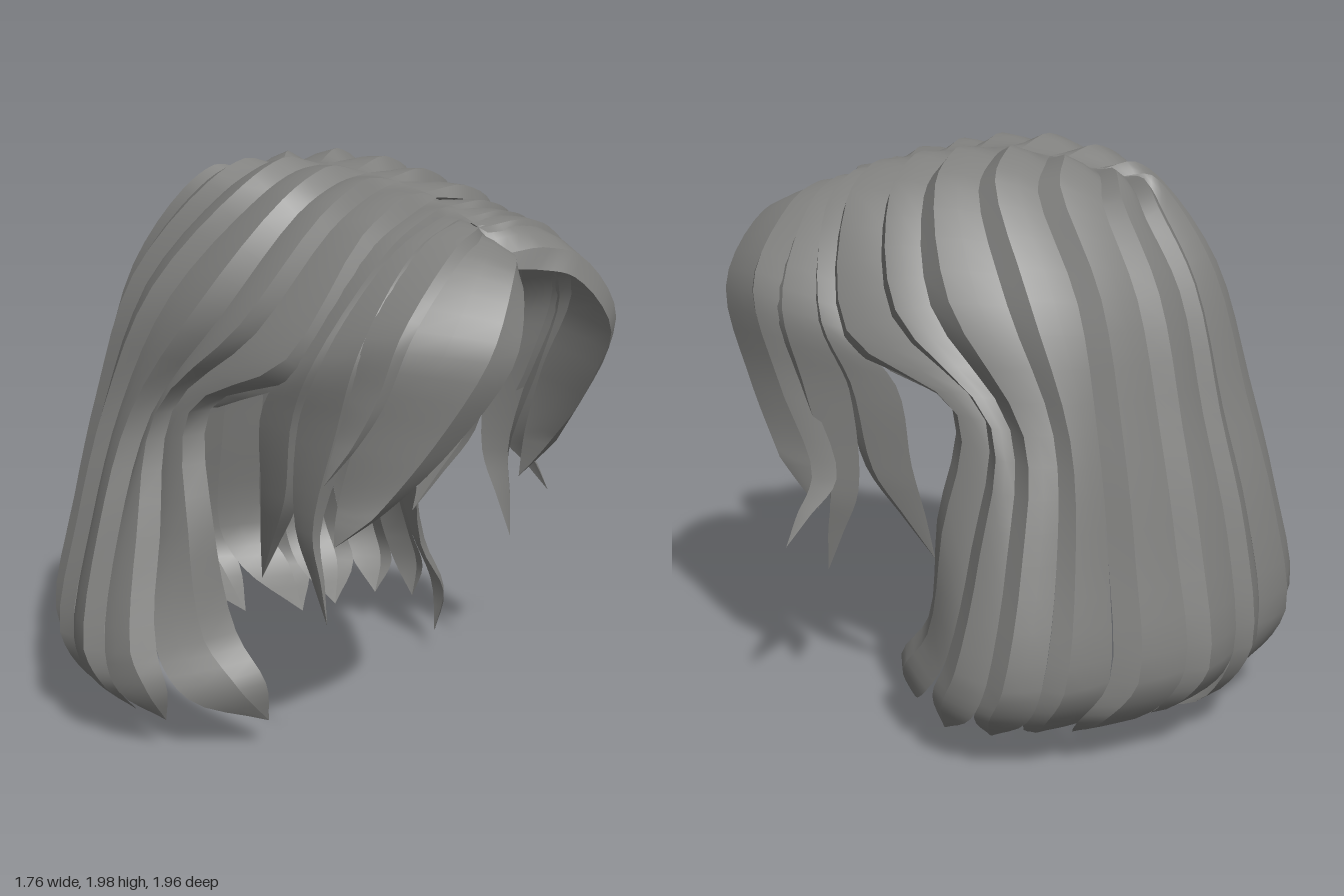
import * as THREE from 'three';
import { mergeGeometries } from 'three/addons/utils/BufferGeometryUtils.js';

const V = (p) => new THREE.Vector3(...p);

// Edge lines of the long back locks, parting to hem, from the centre back outwards
const backEdges = [
  [[0, 1.88, -.4], [0, 1.76, -.55], [0, 1.55, -.66], [0, 1.15, -.77], [0, .75, -.88], [0, .35, -.93]],
  [[0, 1.89, -.36], [.1, 1.78, -.52], [.13, 1.55, -.66], [.17, 1.15, -.77], [.2, .75, -.88], [.24, .35, -.93]],
  [[0, 1.91, -.28], [.2, 1.83, -.41], [.3, 1.55, -.58], [.36, 1.15, -.69], [.41, .75, -.78], [.46, .35, -.84]],
  [[0, 1.94, -.12], [.28, 1.87, -.21], [.44, 1.55, -.43], [.52, 1.15, -.54], [.58, .75, -.61], [.65, .35, -.65]],
];
const sideEdges = [
  [[0, 1.96, .04], [.34, 1.87, -.02], [.55, 1.55, -.23], [.6, 1.15, -.42], [.7, .75, -.48], [.81, .35, -.48]],
  [[0, 1.94, .2], [.37, 1.84, .17], [.59, 1.53, .03], [.61, 1.15, -.27], [.74, .75, -.32], [.85, .35, -.3]],
  [[0, 1.92, .32], [.38, 1.8, .31], [.6, 1.48, .17], [.61, 1.17, -.18], [.7, .75, -.17], [.79, .38, -.12]],
  [[0, 1.88, .48], [.38, 1.76, .48], [.6, 1.38, .36], [.58, 1.19, -.04], [.62, .8, 0], [.58, .42, .06]],
];
const backTips = [[.08, .005, -.6], [.32, .08, -.6], [.5, .06, -.45], [.6, .08, -.36],
  [.74, .11, -.26], [.77, .12, -.1], [.53, .1, .16]];

// Loose locks in front of the ears: back edge, front edge, tip
const frontLocks = [
  { name: 'InnerCheekLock', tip: [.47, .59, .09],
    a: [[0, 1.87, .46], [.38, 1.76, .46], [.59, 1.42, .32], [.57, 1.22, .17], [.54, .95, .14]],
    b: [[0, 1.85, .56], [.36, 1.75, .56], [.6, 1.45, .46], [.59, 1.22, .37], [.56, .93, .31]] },
  { name: 'CheekLock', tip: [.59, .53, .45],
    a: [[0, 1.85, .53], [.37, 1.75, .53], [.6, 1.45, .43], [.6, 1.2, .34], [.59, .85, .32]],
    b: [[0, 1.81, .62], [.35, 1.74, .64], [.59, 1.48, .63], [.6, 1.2, .55], [.6, .85, .43]] },
];
const leftTemple = { name: 'leftTempleLock', tip: [.78, .67, .5],
  a: [[0, 1.82, .58], [.35, 1.76, .61], [.59, 1.5, .6], [.61, 1.2, .5], [.65, .9, .37]],
  b: [[0, 1.78, .68], [.32, 1.73, .74], [.56, 1.52, .74], [.6, 1.2, .62], [.64, .9, .47]] };
const rightTemple = { name: 'rightTempleLock', tip: [.71, 1.05, .52],
  a: [[0, 1.83, .57], [.32, 1.78, .62], [.59, 1.53, .6], [.63, 1.35, .57], [.65, 1.2, .53]],
  b: [[0, 1.77, .67], [.3, 1.75, .77], [.57, 1.54, .76], [.62, 1.32, .69], [.65, 1.18, .61]] };
const fringe = {
  a: [[0, 1.8, .64], [.3, 1.75, .72], [.55, 1.5, .7], [.59, 1.2, .57], [.6, .96, .5]],
  b: [[0, 1.66, .73], [.17, 1.63, .92], [.32, 1.44, .98], [.44, 1.15, .82], [.53, .95, .65]] };

// Direction away from the middle of the head
function outward(p) {
  return p.clone().sub(new THREE.Vector3(0, Math.min(p.y, 1.2), 0)).normalize();
}

// Edge points with the hair arched up beside the parting
function archedPoints(edge) {
  const pts = edge.map(V);
  const arch = pts[0].clone().lerp(pts[1], .45);
  arch.addScaledVector(outward(arch), .03);
  return [pts[0], arch, ...pts.slice(1)];
}

// Rounds one edge of a lock in to its tip
function edgeCurve(edge, other, tip, shape) {
  const pts = archedPoints(edge), end = pts[pts.length - 1], T = V(tip);
  const mid = end.clone().add(V(other[other.length - 1])).multiplyScalar(.5);
  const shoulder = mid.clone().lerp(T, .55).addScaledVector(end.clone().sub(mid), shape.fullness);
  shoulder.addScaledVector(outward(shoulder), shape.curl * Math.hypot(T.x - mid.x, T.z - mid.z));
  return new THREE.CatmullRomCurve3([...pts, shoulder, T]);
}

// Smooth surface through rows of points, n points to a row
function gridGeometry(pos, n, side) {
  const idx = [], rows = pos.length / 3 / n - 1;
  for (let r = 0; r < rows; r++) for (let c = 0; c < n - 1; c++) {
    const i = r * n + c, j = i + n;
    if (side > 0) idx.push(i, i + 1, j, i + 1, j + 1, j);
    else idx.push(i, j, i + 1, i + 1, j, j + 1);
  }
  const g = new THREE.BufferGeometry();
  g.setAttribute('position', new THREE.Float32BufferAttribute(pos, 3));
  g.setIndex(idx);
  g.computeVertexNormals();
  return g;
}

// One lock: a broad face rising to a sharp ridge, then a narrow face falling away
function lockGeometry({ a, b, tip }, side, shape) {
  const A = edgeCurve(a, b, tip, shape), B = edgeCurve(b, a, tip, shape), rows = 32;
  const face = (us) => {
    const pos = [];
    for (let r = 0; r <= rows; r++) {
      const v = r / rows, pa = A.getPoint(v), pb = B.getPoint(v);
      const fade = Math.min(1, v * 9) * Math.min(1, (1 - v) * 4);
      for (const [u, h] of us) {
        const p = pa.clone().lerp(pb, u);
        p.addScaledVector(outward(p), h * shape.lift * fade);
        pos.push(p.x * side, Math.max(0, p.y), p.z);
      }
    }
    return gridGeometry(pos, us.length, side);
  };
  return mergeGeometries([face([[0, 0], [.35, .65], [.7, 1]]), face([[.7, 1], [1, 0]])]);
}

// Lining just inside the long locks, ending level at the nape
function liningGeometry(edges, side) {
  const curves = edges.map((e) => new THREE.CatmullRomCurve3(archedPoints(e.slice(0, 4))));
  const pos = [], rows = 14;
  for (let r = 0; r <= rows; r++) for (const c of curves) {
    const p = c.getPoint(r / rows);
    p.addScaledVector(outward(p), -.04);
    pos.push(p.x * side, p.y, p.z);
  }
  return gridGeometry(pos, curves.length, side);
}

export function createModel() {
  const model = new THREE.Group();
  model.name = 'hair';
  const grey = new THREE.MeshStandardMaterial({ color: 0x80807e, side: THREE.DoubleSide });
  grey.name = 'hairGrey';

  const add = (name, geometry) => {
    const mesh = new THREE.Mesh(geometry, grey);
    mesh.name = name;
    model.add(mesh);
  };

  const edges = [...backEdges, ...sideEdges];
  const longShape = { lift: .045, fullness: .92, curl: .27 };
  const looseShape = { lift: .03, fullness: .5, curl: 0 };
  const fringeShape = { lift: .06, fullness: .5, curl: 0 };

  for (const side of [1, -1]) {
    const label = side > 0 ? 'left' : 'right';
    // Long locks round the back and sides
    backTips.forEach((tip, i) =>
      add(`${label}BackLock${i + 1}`, lockGeometry({ a: edges[i], b: edges[i + 1], tip }, side, longShape)));
    // Face-framing locks
    for (const f of frontLocks) add(label + f.name, lockGeometry(f, side, looseShape));
    const temple = side > 0 ? leftTemple : rightTemple;
    add(temple.name, lockGeometry(temple, side, looseShape));
    // Curtain fringe
    const tip = side > 0 ? [.61, .76, .47] : [.65, .83, .52];
    add(`${label}Fringe`, lockGeometry({ ...fringe, tip }, side, fringeShape));
    add(`${label}Lining`, liningGeometry(edges, side));
  }
  return model;
}
